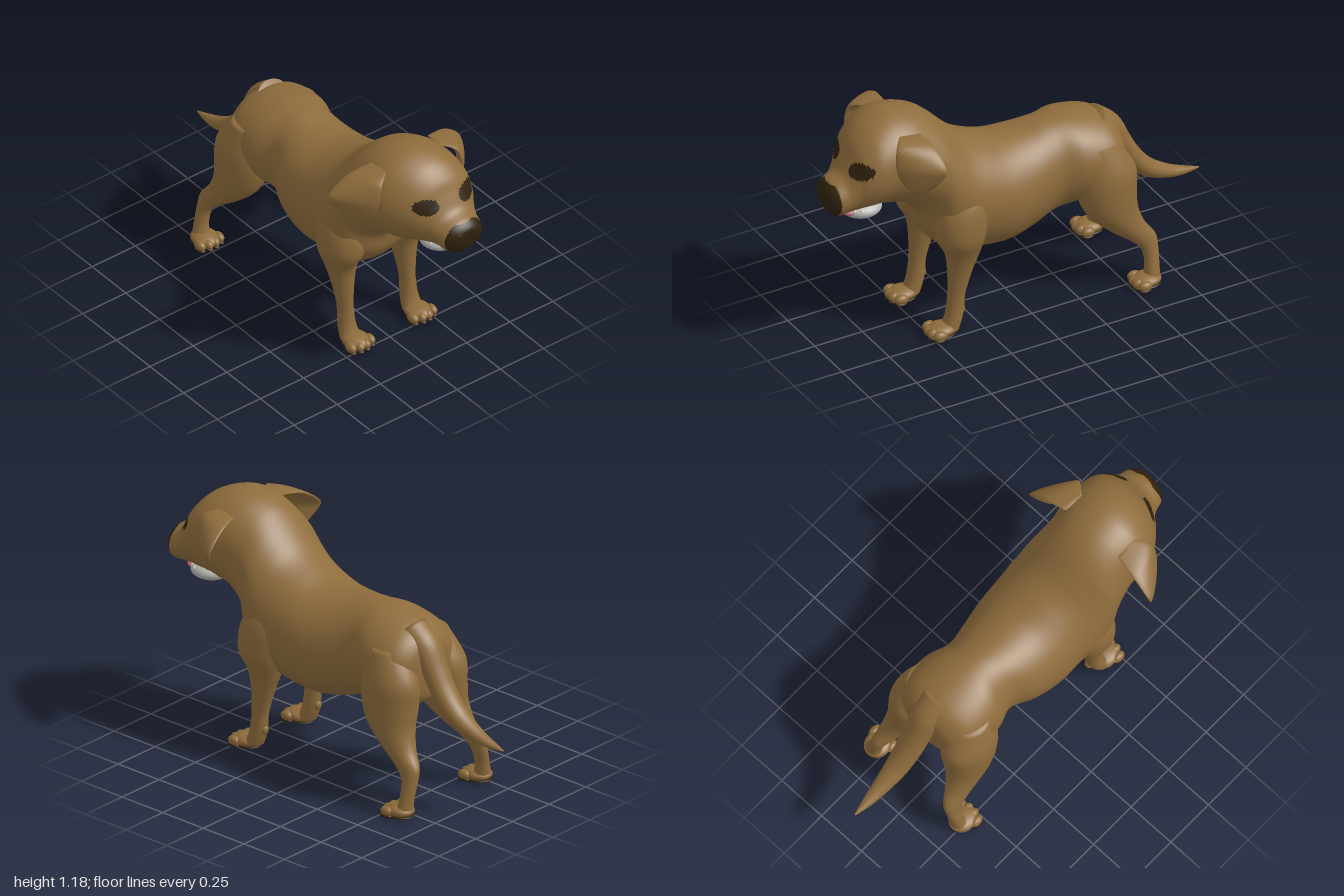
import * as THREE from 'three';

const mat = (name, color) => Object.assign(new THREE.MeshStandardMaterial({ color }), { name });

// Catmull-Rom blend of one number
function blend(a, b, c, d, t) {
  return b + 0.5 * t * (c - a + t * (2 * a - 5 * b + 4 * c - d + t * (3 * (b - c) + d - a)));
}

// Smooth skin over elliptical sections [centre xyz, half-axis U xyz, half-axis V xyz].
// paint(x, y, z) gives the material index of each face.
function loft(sections, { sides = 24, steps = 5, paint = () => 0 } = {}) {
  const pos = [], n = sections.length, at = i => sections[Math.min(n - 1, Math.max(0, i))];
  const rows = (n - 1) * steps + 1;
  for (let r = 0; r < rows; r++) {
    const i = Math.min(n - 2, Math.floor(r / steps)), t = r / steps - i;
    const s = at(i).map((_, k) => blend(at(i - 1)[k], at(i)[k], at(i + 1)[k], at(i + 2)[k], t));
    for (let j = 0; j < sides; j++) {
      const a = (j / sides) * Math.PI * 2, c = Math.cos(a), d = Math.sin(a);
      for (let k = 0; k < 3; k++) pos.push(s[k] + s[3 + k] * c + s[6 + k] * d);
    }
  }
  pos.push(...at(0).slice(0, 3), ...at(n).slice(0, 3));
  const tris = [], first = rows * sides;
  for (let j = 0; j < sides; j++) {
    const j2 = (j + 1) % sides, end = (rows - 1) * sides;
    for (let r = 0; r < rows - 1; r++) {
      const a = r * sides + j, b = r * sides + j2;
      tris.push([a, b, a + sides], [b, b + sides, a + sides]);
    }
    tris.push([first, j2, j], [first + 1, end + j, end + j2]);
  }
  const P = i => new THREE.Vector3().fromArray(pos, i * 3);
  // Turn the faces outward
  const volume = tris.reduce((v, [a, b, c]) => v + P(a).dot(P(b).cross(P(c))), 0);
  const buckets = [[], []];
  for (const [a, b, c] of tris) {
    const m = P(a).add(P(b)).add(P(c)).divideScalar(3);
    buckets[paint(m.x, m.y, m.z)].push(...(volume > 0 ? [a, b, c] : [a, c, b]));
  }
  const geo = new THREE.BufferGeometry();
  geo.setAttribute('position', new THREE.Float32BufferAttribute(pos, 3));
  geo.setIndex(buckets.flat());
  geo.addGroup(0, buckets[0].length, 0);
  geo.addGroup(buckets[0].length, buckets[1].length, 1);
  geo.computeVertexNormals();
  return geo;
}

export function createModel() {
  const dog = new THREE.Group();
  dog.name = 'dog';
  const fur = mat('tan fur', 0x8e6c3c), dark = mat('dark brown', 0x2f220c);
  const chin = mat('pale grey', 0xb4b4b0), pink = mat('tongue pink', 0xc0707a), ivory = mat('ivory', 0xdcd8cc);

  const add = (name, geo, material, parent = dog) => {
    const mesh = new THREE.Mesh(geo, material);
    mesh.name = name;
    parent.add(mesh);
    return mesh;
  };
  const ball = (name, material, p, r, parent) => {
    const mesh = add(name, new THREE.SphereGeometry(1, 24, 16), material, parent);
    mesh.position.set(...p);
    mesh.scale.set(...r);
    return mesh;
  };

  // Trunk, neck and head: top z, top y, bottom z, bottom y, half width, centre x
  const trunk = [
    [-0.55, 0.70, -0.55, 0.58, 0.06, 0.04],
    [-0.525, 0.79, -0.53, 0.49, 0.16, 0.04],
    [-0.45, 0.85, -0.45, 0.45, 0.23, 0.035],
    [-0.3, 0.885, -0.3, 0.435, 0.235, 0.03],
    [-0.18, 0.885, -0.18, 0.41, 0.2, 0.03],
    [-0.05, 0.868, -0.05, 0.36, 0.235, 0.02],
    [0.08, 0.875, 0.08, 0.335, 0.26, 0.02],
    [0.2, 0.92, 0.22, 0.345, 0.265, 0.02],
    [0.28, 0.965, 0.36, 0.375, 0.27, 0.015],
    [0.34, 1.02, 0.46, 0.48, 0.265, 0.01],
    [0.4, 1.08, 0.5, 0.61, 0.25, 0.005],
    [0.47, 1.135, 0.6, 0.69, 0.235, 0.005],
    [0.56, 1.17, 0.68, 0.72, 0.24, 0.01],
    [0.66, 1.178, 0.74, 0.735, 0.235, 0.015],
    [0.76, 1.145, 0.79, 0.745, 0.21, 0.035],
    [0.83, 1.085, 0.83, 0.75, 0.175, 0.05],
    [0.87, 1.015, 0.87, 0.75, 0.14, 0.06],
    [0.91, 0.95, 0.91, 0.75, 0.12, 0.065],
    [0.965, 0.92, 0.955, 0.748, 0.105, 0.068],
    [0.994, 0.89, 0.985, 0.775, 0.07, 0.072],
    [1.0, 0.86, 0.993, 0.81, 0.03, 0.075],
  ].map(([tz, ty, bz, by, w, x]) =>
    [x, (ty + by) / 2, (tz + bz) / 2, w, 0, 0, 0, (ty - by) / 2, (tz - bz) / 2]);

  // Nose and eye patches are painted on the skin
  const paintFace = (x, y, z) => {
    if (z > 0.957 && y < 0.915) return 1;
    if (z < 0.7) return 0;
    return [-0.065, 0.165].some(ex => ((x - ex) / 0.058) ** 2 + ((y - 0.99) / 0.038) ** 2 < 1) ? 1 : 0;
  };
  add('body and head', loft(trunk, { sides: 72, steps: 10, paint: paintFace }), [fur, dark]);
  for (const s of [-1, 1]) ball('nostril', dark, [0.07 + s * 0.035, 0.862, 0.978], [0.032, 0.024, 0.02]);

  // Open mouth
  ball('lowerJaw', chin, [0.06, 0.737, 0.795], [0.1, 0.045, 0.1]);
  ball('tongue', pink, [0.065, 0.745, 0.865], [0.062, 0.02, 0.055]);
  for (let i = 0; i < 7; i++) {
    const a = (i / 6 - 0.5) * 2.4;
    ball('tooth', ivory, [0.06 + Math.sin(a) * 0.085, 0.75, 0.8 + Math.cos(a) * 0.085], [0.009, 0.014, 0.009]);
  }

  // Ears: front edge xyz, back edge xyz, half thickness
  const earEdges = [
    [0.13, 1.12, 0.65, 0.15, 1.11, 0.55, 0.012],
    [0.2, 1.095, 0.7, 0.27, 1.085, 0.53, 0.02],
    [0.225, 1.02, 0.715, 0.375, 1.01, 0.52, 0.018],
    [0.24, 0.95, 0.7, 0.36, 0.95, 0.54, 0.015],
    [0.26, 0.89, 0.66, 0.31, 0.885, 0.58, 0.012],
    [0.275, 0.87, 0.63, 0.285, 0.87, 0.61, 0.004],
  ];
  for (const [name, scale, shift] of [['rightEar', -1, 0], ['leftEar', 0.85, 0.058]]) {
    const X = x => x * scale + shift;
    add(name, loft(earEdges.map(([fx, fy, fz, bx, by, bz, t]) => [
      (X(fx) + X(bx)) / 2, (fy + by) / 2, (fz + bz) / 2,
      (X(fx) - X(bx)) / 2, (fy - by) / 2, (fz - bz) / 2,
      Math.sign(scale) * t * 0.75, t * 0.4, t * 0.6])), fur);
  }

  // Legs: y, centre z, half depth, distance from middle, half width
  const frontLeg = [
    [0.78, 0.3, 0.07, 0.16, 0.06],
    [0.66, 0.33, 0.125, 0.18, 0.1],
    [0.52, 0.35, 0.122, 0.185, 0.108],
    [0.42, 0.34, 0.085, 0.182, 0.076],
    [0.32, 0.352, 0.06, 0.18, 0.054],
    [0.2, 0.37, 0.043, 0.18, 0.038],
    [0.12, 0.378, 0.043, 0.18, 0.04],
    [0.07, 0.39, 0.043, 0.18, 0.045],
    [0.025, 0.41, 0.045, 0.18, 0.05],
  ];
  const hindLeg = [
    [0.76, -0.39, 0.09, 0.14, 0.08],
    [0.62, -0.42, 0.145, 0.16, 0.112],
    [0.5, -0.425, 0.145, 0.165, 0.115],
    [0.4, -0.445, 0.125, 0.18, 0.095],
    [0.31, -0.505, 0.093, 0.2, 0.066],
    [0.24, -0.575, 0.07, 0.22, 0.043],
    [0.18, -0.608, 0.043, 0.235, 0.034],
    [0.1, -0.61, 0.035, 0.255, 0.034],
    [0.025, -0.6, 0.042, 0.265, 0.045],
  ];
  const legSet = [['front', frontLeg, 0.02, 0.45], ['hind', hindLeg, 0.03, -0.575]];
  for (const [kind, rings, shift, pawZ] of legSet) {
    for (const [side, s] of [['left', 1], ['right', -1]]) {
      const leg = new THREE.Group();
      leg.name = `${side} ${kind} leg`;
      dog.add(leg);
      add('limb', loft(rings.map(([y, z, hz, x, hx]) =>
        [s * x + shift, y, z, hx, 0, 0, 0, 0, hz])), fur, leg);
      // Paw with four toes and a dark sole
      const x = s * rings.at(-1)[3] + shift;
      ball('paw', fur, [x, 0.033, pawZ], [0.062, 0.03, 0.072], leg);
      for (let i = 0; i < 4; i++) {
        const k = i - 1.5, z = pawZ + 0.052 - Math.abs(k) * 0.012;
        ball('toe', fur, [x + k * 0.036, 0.03, z], [0.022, 0.024, 0.034], leg);
        ball('toePad', dark, [x + k * 0.036, 0.01, z + 0.002], [0.021, 0.01, 0.033], leg);
      }
      ball('sole', dark, [x, 0.01, pawZ - 0.005], [0.058, 0.01, 0.066], leg);
      if (kind === 'front') ball('wristPad', fur, [x, 0.11, 0.345], [0.02, 0.025, 0.018], leg);
    }
  }

  // Tail: y, z, radius
  const tail = [
    [0.82, -0.43, 0.07], [0.75, -0.515, 0.068], [0.65, -0.57, 0.062], [0.55, -0.63, 0.058],
    [0.46, -0.715, 0.05], [0.405, -0.82, 0.036], [0.38, -0.91, 0.022], [0.37, -0.99, 0.004],
  ];
  add('tail', loft(tail.map(([y, z, r], i) => {
    const a = tail[Math.max(0, i - 1)], b = tail[Math.min(tail.length - 1, i + 1)];
    const dy = b[0] - a[0], dz = b[1] - a[1], l = Math.hypot(dy, dz);
    return [0.05, y, z, r * 1.1, 0, 0, 0, (-dz / l) * r * 0.9, (dy / l) * r * 0.9];
  })), fur);

  // Belly sheath
  ball('sheath', fur, [0.03, 0.41, -0.19], [0.03, 0.032, 0.06]).rotation.x = 0.4;

  return dog;
}
